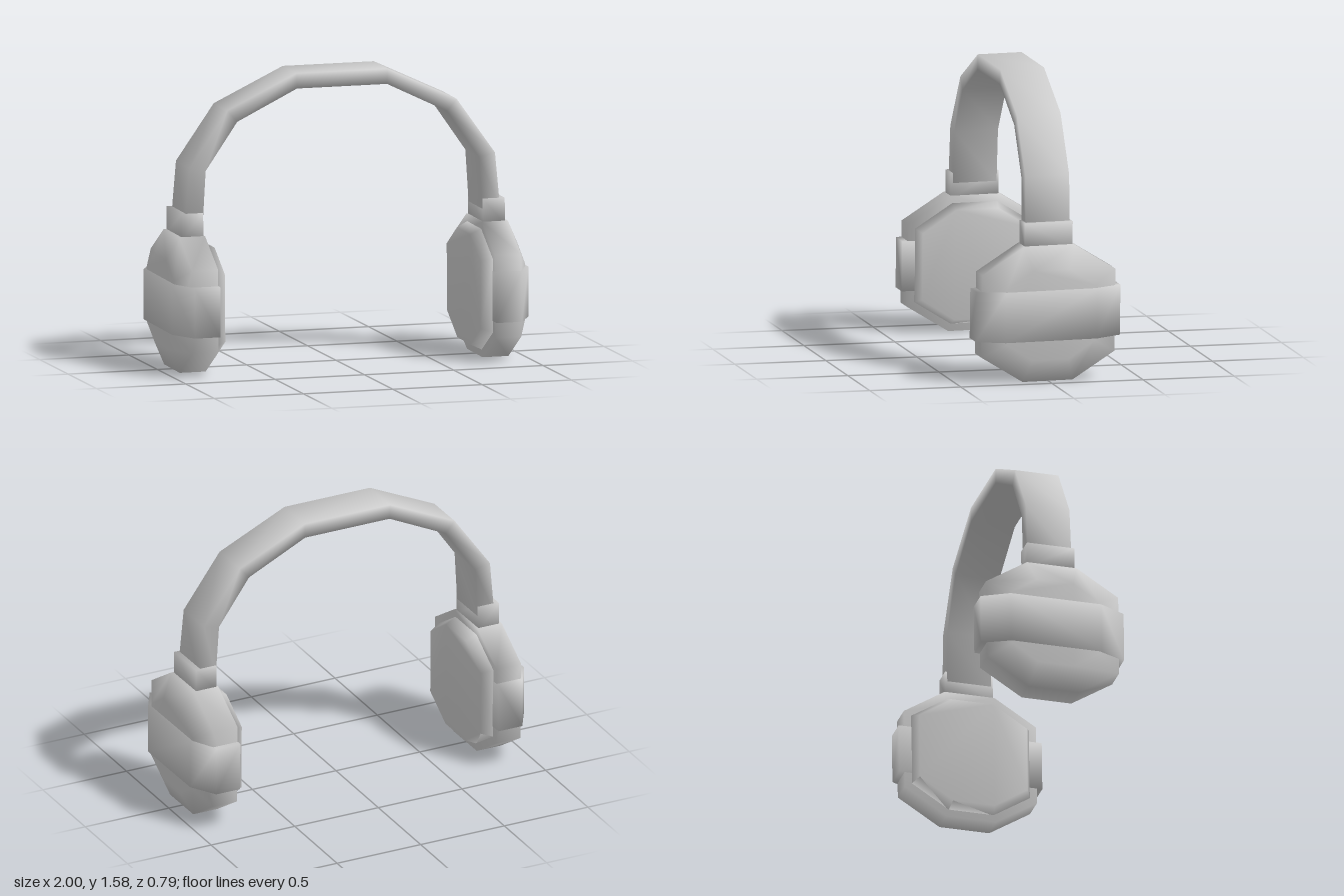
import * as THREE from 'three';

const material = new THREE.MeshStandardMaterial({ color: 0xcccccc });

// Closed smooth solid through rings of [x, y, z] points; the parts lean very slightly back.
function loft(name, rings, side = 1) {
  const n = rings[0].length;
  const last = (rings.length - 1) * n;
  const pts = rings.flat().map(([x, y, z]) =>
    new THREE.Vector3(x * side, y - 0.013 * z, z - 0.013 * y + 0.005));
  const faces = [];
  for (let r = 0; r < rings.length - 1; r++) {
    for (let i = 0; i < n; i++) {
      const a = r * n + i, b = r * n + (i + 1) % n;
      faces.push([a, b, b + n], [a, b + n, a + n]);
    }
  }
  for (let i = 1; i < n - 1; i++) {
    faces.push([0, i + 1, i], [last, last + i, last + i + 1]);
  }
  // Turn the faces outward, whichever way the rings run
  const cross = new THREE.Vector3();
  let volume = 0;
  for (const [a, b, c] of faces) volume += pts[a].dot(cross.crossVectors(pts[b], pts[c]));
  if (volume < 0) faces.forEach((f) => f.reverse());

  const geometry = new THREE.BufferGeometry().setFromPoints(pts);
  geometry.setIndex(faces.flat());
  geometry.computeVertexNormals();
  const mesh = new THREE.Mesh(geometry, material);
  mesh.name = name;
  return mesh;
}

// Eight-sided ring across x: half size h, half top edge t, half side edge s
function octagon(x, h, t, s) {
  return [[t, h], [h, s], [h, -s], [t, -h], [-t, -h], [-h, -s], [-h, s], [-t, h]]
    .map(([z, y]) => [x, y + 0.367, z]);
}

// Level rectangle for the collar
function rectangle(x0, x1, y, z) {
  return [[x0, y, -z], [x1, y, -z], [x1, y, z], [x0, y, z]];
}

function createEarcup(side) {
  const cup = new THREE.Group();
  cup.name = side > 0 ? 'leftEarcup' : 'rightEarcup';

  // Shell with a bevelled outer face
  cup.add(loft('shell', [
    octagon(0.775, 0.365, 0.137, 0.222),
    octagon(0.92, 0.365, 0.137, 0.222),
    octagon(0.982, 0.242, 0.1, 0.15),
  ], side));

  // Cushion facing the head
  cup.add(loft('cushion', [
    octagon(0.78, 0.328, 0.125, 0.2),
    octagon(0.715, 0.297, 0.115, 0.18),
  ], side));

  // Strap wrapped around the shell
  const outline = [[0.773, 0.395], [0.915, 0.395], [0.998, 0.25],
    [0.998, -0.25], [0.915, -0.395], [0.773, -0.395]];
  cup.add(loft('strap', [0.23, 0.5].map((y) => outline.map(([x, z]) => [x, y, z])), side));

  // Collar joining the shell to the headband
  cup.add(loft('collar', [
    rectangle(0.783, 0.905, 0.715, 0.131),
    rectangle(0.783, 0.905, 0.855, 0.131),
  ], side));
  return cup;
}

function createHeadband() {
  // Outer and inner corners of one half, from collar to crown
  const half = [
    [0.882, 0.8, 0.782, 0.8],
    [0.855, 1.1, 0.765, 1.08],
    [0.642, 1.4, 0.587, 1.337],
    [0.255, 1.582, 0.252, 1.5],
  ];
  const mirrored = half.map(([ox, oy, ix, iy]) => [-ox, oy, -ix, iy]).reverse();
  const w = 0.12;
  return loft('headband', [...half, ...mirrored].map(([ox, oy, ix, iy]) =>
    [[ox, oy, -w], [ox, oy, w], [ix, iy, w], [ix, iy, -w]]));
}

export function createModel() {
  const model = new THREE.Group();
  model.name = 'headphones';
  model.add(createHeadband(), createEarcup(1), createEarcup(-1));
  return model;
}
